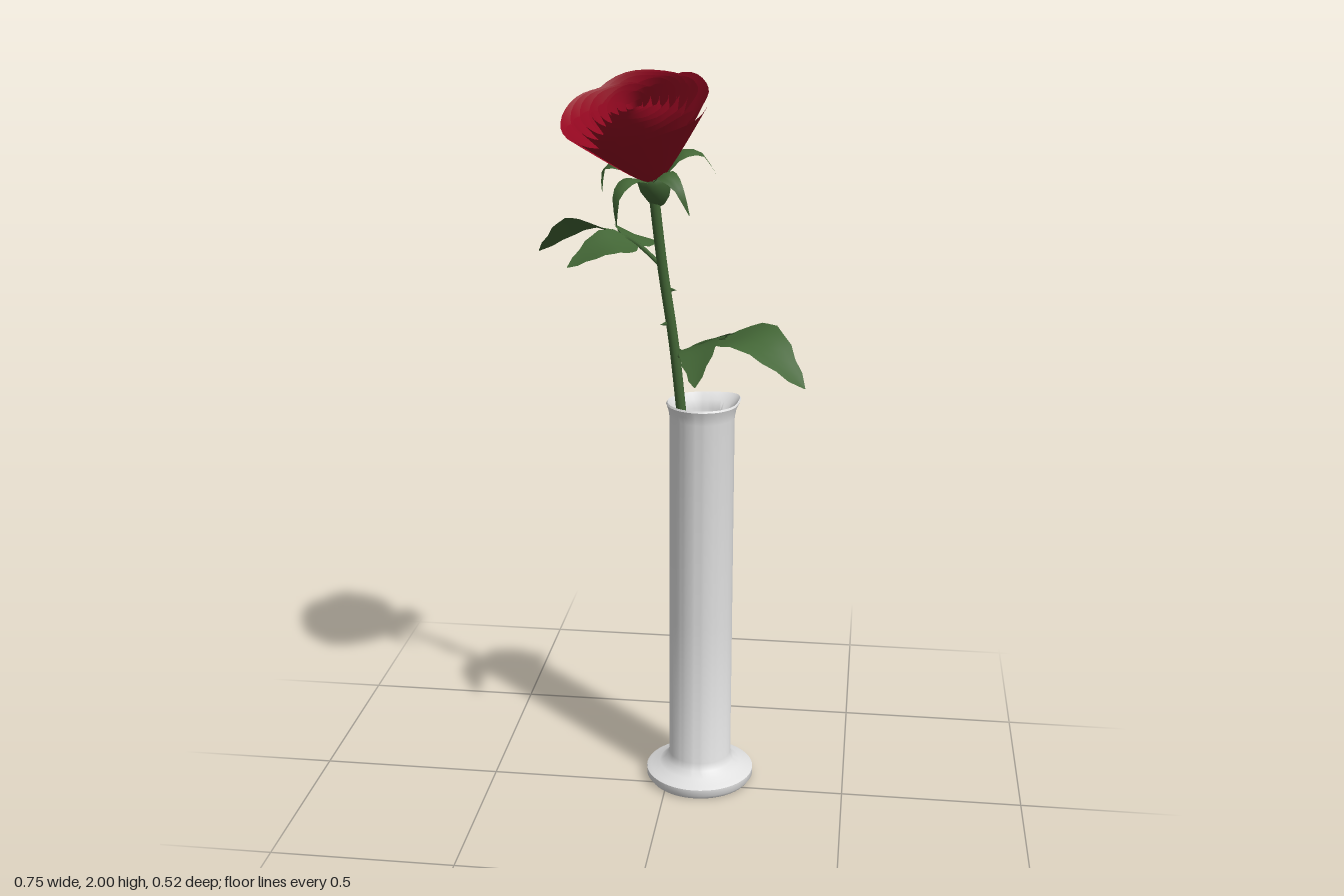
import * as THREE from 'three';
import { toCreasedNormals } from 'three/addons/utils/BufferGeometryUtils.js';

const V = (x, y, z) => new THREE.Vector3(x, y, z);
const flat = (name, color, extra = {}) => {
  const m = new THREE.MeshStandardMaterial({ color, ...extra });
  m.name = name;
  return m;
};

// Open sheet from a point rule: f(u, v) with u across and v along
function sheet(f, nu, nv) {
  const pos = [], index = [];
  for (let j = 0; j <= nv; j++) {
    for (let i = 0; i <= nu; i++) {
      pos.push(...f(i / nu, j / nv).toArray());
      if (i < nu && j < nv) {
        const a = j * (nu + 1) + i, b = a + 1, c = a + nu + 1, d = c + 1;
        index.push(a, b, d, a, d, c);
      }
    }
  }
  const g = new THREE.BufferGeometry();
  g.setAttribute('position', new THREE.Float32BufferAttribute(pos, 3));
  g.setIndex(index);
  g.computeVertexNormals();
  return g;
}

// Leaf-like blade along a curve; widths are half-widths at even steps, roll tips it sideways
function blade(points, widths, roll = 0, fold = 0) {
  const curve = new THREE.CatmullRomCurve3(points);
  const along = points[points.length - 1].clone().sub(points[0]);
  const side = V(-along.z, 0, along.x).normalize();
  side.applyAxisAngle(along.normalize(), roll);
  return sheet((u, v) => {
    const w = widths[Math.round(v * (widths.length - 1))];
    const s = 1 - 2 * u;
    const p = curve.getPoint(v).addScaledVector(side, s * w);
    p.y += Math.abs(s) * w * fold;
    return p;
  }, 4, widths.length - 1);
}

export function createModel() {
  const model = new THREE.Group();
  model.name = 'roseInVase';
  const white = flat('vase white', 0xe0e0e0, { side: THREE.DoubleSide });
  const green = flat('leaf green', 0x426535, { side: THREE.DoubleSide });
  const red = flat('petal red', 0x950821, { side: THREE.DoubleSide });
  const add = (parent, name, geometry, material) => {
    const m = new THREE.Mesh(geometry, material);
    m.name = name;
    parent.add(m);
    return m;
  };

  // Vase: footed tube with a flared lip, pulled out into a small spout
  const profile = [
    [0, 0], [0.143, 0], [0.152, 0.012], [0.152, 0.03], [0.14, 0.036], [0.115, 0.046],
    [0.096, 0.06], [0.088, 0.08], [0.088, 0.5], [0.088, 1.085], [0.091, 1.105],
    [0.097, 1.122], [0.094, 1.127], [0.083, 1.108], [0.076, 1.085], [0.075, 0.1], [0.06, 0.07], [0, 0.065],
  ].map(([x, y]) => new THREE.Vector2(x, y));
  const vaseGeo = new THREE.LatheGeometry(profile, 64);
  const pos = vaseGeo.attributes.position;
  for (let i = 0; i < pos.count; i++) {
    const x = pos.getX(i), y = pos.getY(i), z = pos.getZ(i);
    const r = Math.hypot(x, z);
    if (y < 1.086 || r < 0.01) continue;
    const toward = Math.max(0, (x - z) / (r * Math.SQRT2));
    const k = 1 + 0.28 * Math.pow(toward, 10) * Math.min(1, (y - 1.085) / 0.037);
    pos.setXYZ(i, x * k, y, z * k);
  }
  add(model, 'vase', toCreasedNormals(vaseGeo, 0.7), white).position.set(0.088, 0, -0.065);

  // Stem
  const stem = new THREE.CatmullRomCurve3([
    V(0.13, 0.08, -0.085), V(0.08, 0.6, -0.075), V(0.03, 1.125, -0.055),
    V(0.012, 1.3, -0.046), V(-0.015, 1.5, -0.03), V(-0.033, 1.69, -0.002),
  ]);
  add(model, 'stem', new THREE.TubeGeometry(stem, 40, 0.0135, 10), green);

  // Thorns
  [[0.024, 1.19, -0.052, 0.2, -1], [0.012, 1.35, -0.042, -1, 0.3], [0.02, 1.27, -0.048, 0.3, -1],
    [-0.01, 1.44, -0.033, 0.8, -0.6]].forEach(([x, y, z, dx, dz]) => {
    const dir = V(dx, -0.2, dz).normalize();
    const t = add(model, 'thorn', new THREE.ConeGeometry(0.009, 0.03, 6), green);
    t.position.set(x, y, z).addScaledVector(dir, 0.022);
    t.quaternion.setFromUnitVectors(V(0, 1, 0), dir);
  });

  // Compound leaves: a stalk with one end leaflet and two side leaflets that slope away from it
  const outline = [0.04, 0.6, 0.84, 1, 0.95, 0.98, 0.82, 0.74, 0.47, 0.34, 0.02];
  const leaf = (stalk, leaflets) => {
    const g = new THREE.Group();
    g.name = 'compoundLeaf';
    model.add(g);
    add(g, 'leafStalk', new THREE.TubeGeometry(new THREE.CatmullRomCurve3(stalk), 10, 0.006, 6), green);
    leaflets.forEach(([root, tip, half, lift, roll]) => {
      const mid = root.clone().lerp(tip, 0.45);
      mid.y += lift;
      add(g, 'leaflet', blade([root, mid, tip], outline.map((w) => w * half), roll, 0.1), green);
    });
  };
  leaf([V(-0.015, 1.5, -0.03), V(-0.09, 1.55, -0.08), V(-0.16, 1.575, -0.11)], [
    [V(-0.15, 1.57, -0.108), V(-0.375, 1.5, -0.19), 0.074, 0.042, 0.35],
    [V(-0.085, 1.545, -0.075), V(-0.135, 1.5, -0.255), 0.058, 0.035, 0.4],
    [V(-0.085, 1.545, -0.075), V(-0.26, 1.5, 0.012), 0.058, 0.03, -0.4],
  ]);
  leaf([V(0.015, 1.25, -0.047), V(0.09, 1.3, -0.015), V(0.16, 1.33, 0.03)], [
    [V(0.14, 1.322, 0.02), V(0.373, 1.245, 0.185), 0.078, 0.055, 0.25],
    [V(0.09, 1.3, -0.015), V(0.29, 1.245, -0.065), 0.062, 0.035, -0.4],
    [V(0.09, 1.3, -0.015), V(0.098, 1.245, 0.212), 0.058, 0.035, 0.4],
  ]);

  // Flower head, tilted forward
  const head = new THREE.Group();
  head.name = 'flowerHead';
  head.position.set(-0.035, 1.745, 0.012);
  head.quaternion.setFromUnitVectors(V(0, 1, 0), V(-0.17, 0.9, 0.37).normalize());
  model.add(head);

  // Green cup under the petals
  const cup = [[0, -0.09], [0.014, -0.085], [0.03, -0.065], [0.041, -0.035], [0.042, -0.01], [0.036, 0.018], [0, 0.02]];
  add(head, 'flowerCup', new THREE.LatheGeometry(cup.map(([x, y]) => new THREE.Vector2(x, y)), 20), green);

  // Five sepals arching out and down
  for (let i = 0; i < 5; i++) {
    const pts = [V(0.03, 0, 0), V(0.08, 0.037, 0), V(0.132, 0.022, 0), V(0.16, -0.055, 0)];
    const s = add(head, 'sepal', blade(pts, [0.018, 0.023, 0.025, 0.023, 0.018, 0.012, 0.007, 0.001], 0, -0.25), green);
    s.rotation.y = Math.PI / 2 + (i * Math.PI * 2) / 5;
  }

  // Nested petal rings: [petals, rim radius, height, bulge exponent]
  const rings = [
    [2, 0.022, 0.205, 0.5], [3, 0.045, 0.213, 0.6], [3, 0.068, 0.214, 0.7], [4, 0.092, 0.212, 0.78],
    [4, 0.116, 0.211, 0.84], [5, 0.142, 0.209, 0.88], [5, 0.165, 0.206, 0.91], [5, 0.192, 0.197, 0.94],
  ];
  rings.forEach(([count, R, H, bulge], k) => {
    for (let i = 0; i < count; i++) {
      const span = ((Math.PI * 2) / count) * 1.35;
      const start = (i * Math.PI * 2) / count + k * 1.1;
      const base = Math.min(0.034, R * 0.6);
      const petal = sheet((u, v) => {
        const edge = Math.pow(Math.abs(2 * u - 1), 3);
        const t = v * (1 - 0.08 * edge);
        const r = (base + (R - base) * Math.pow(t, bulge)) * (1.03 - 0.1 * u);
        const a = start + u * span;
        const ripple = 0.004 * Math.sin(u * 9 + i * 2 + k) * v;
        return V(r * Math.cos(a), H * t + ripple, r * Math.sin(a));
      }, 12, 7);
      add(head, 'petal', petal, red);
    }
  });
  return model;
}
